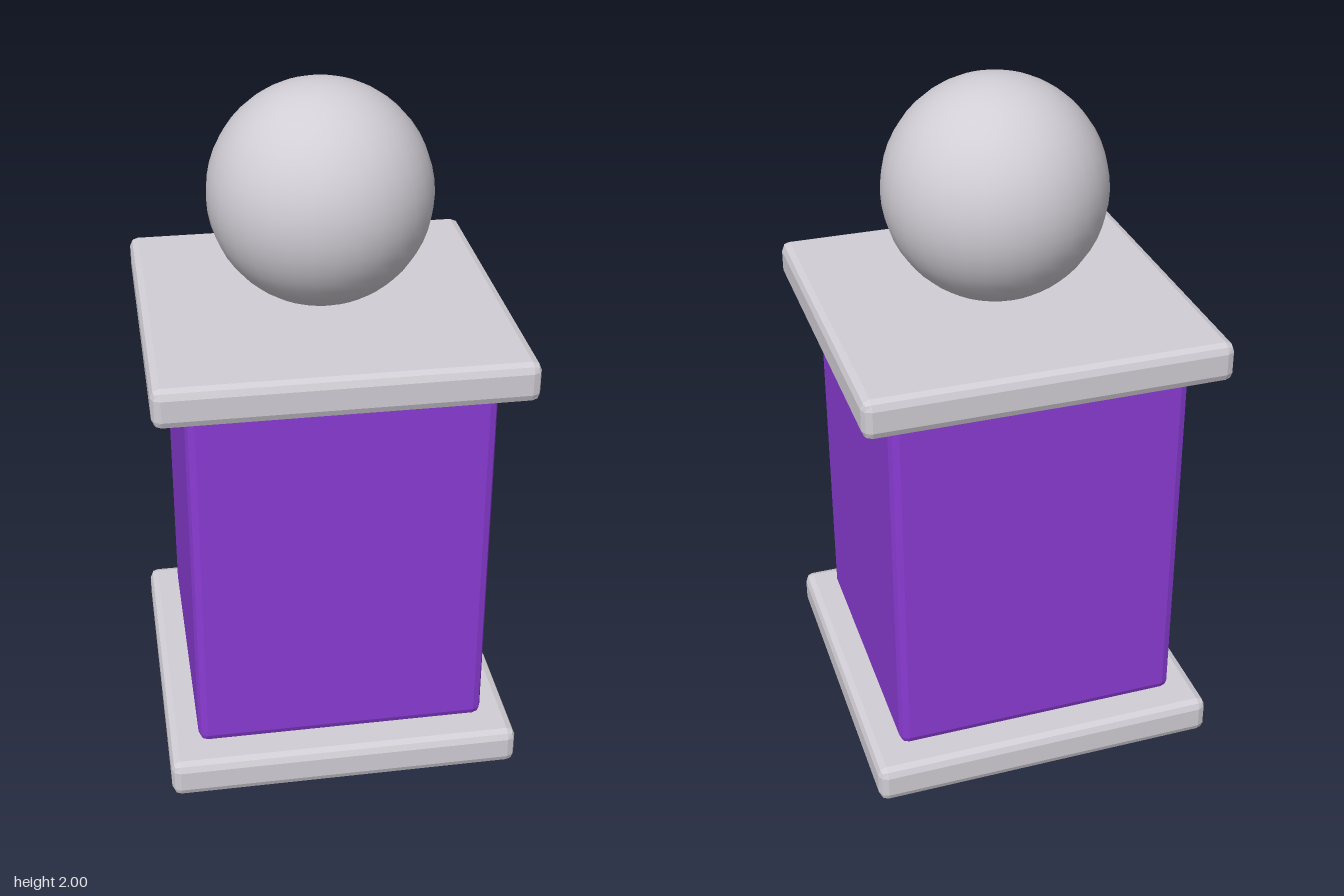
import * as THREE from 'three';
import { RoundedBoxGeometry } from 'three/addons/geometries/RoundedBoxGeometry.js';

const stone = new THREE.MeshStandardMaterial({ color: 0xd1ced5 });
stone.name = 'pale stone';
const purple = new THREE.MeshStandardMaterial({ color: 0x8a3cd4 });
purple.name = 'purple';

// Square block with a two-facet bevel, standing on y = bottom
function block(name, width, bottom, top, material) {
  const height = top - bottom;
  const geometry = new RoundedBoxGeometry(width, height, width, 1, 0.026);
  geometry.computeVertexNormals(); // unshared corners give crisp facets
  const mesh = new THREE.Mesh(geometry, material);
  mesh.name = name;
  mesh.position.y = bottom + height / 2;
  return mesh;
}

export function createModel() {
  const group = new THREE.Group();
  group.name = 'pedestal';

  // Slabs and the column between them
  group.add(
    block('baseSlab', 1.04, 0, 0.115, stone),
    block('column', 0.86, 0.12, 1.247, purple),
    block('topSlab', 1.04, 1.25, 1.365, stone)
  );

  // Ball resting on the top slab
  const radius = 0.318;
  const ball = new THREE.Mesh(new THREE.SphereGeometry(radius, 32, 24), stone);
  ball.name = 'ball';
  ball.position.y = 2 - radius;
  group.add(ball);

  return group;
}
